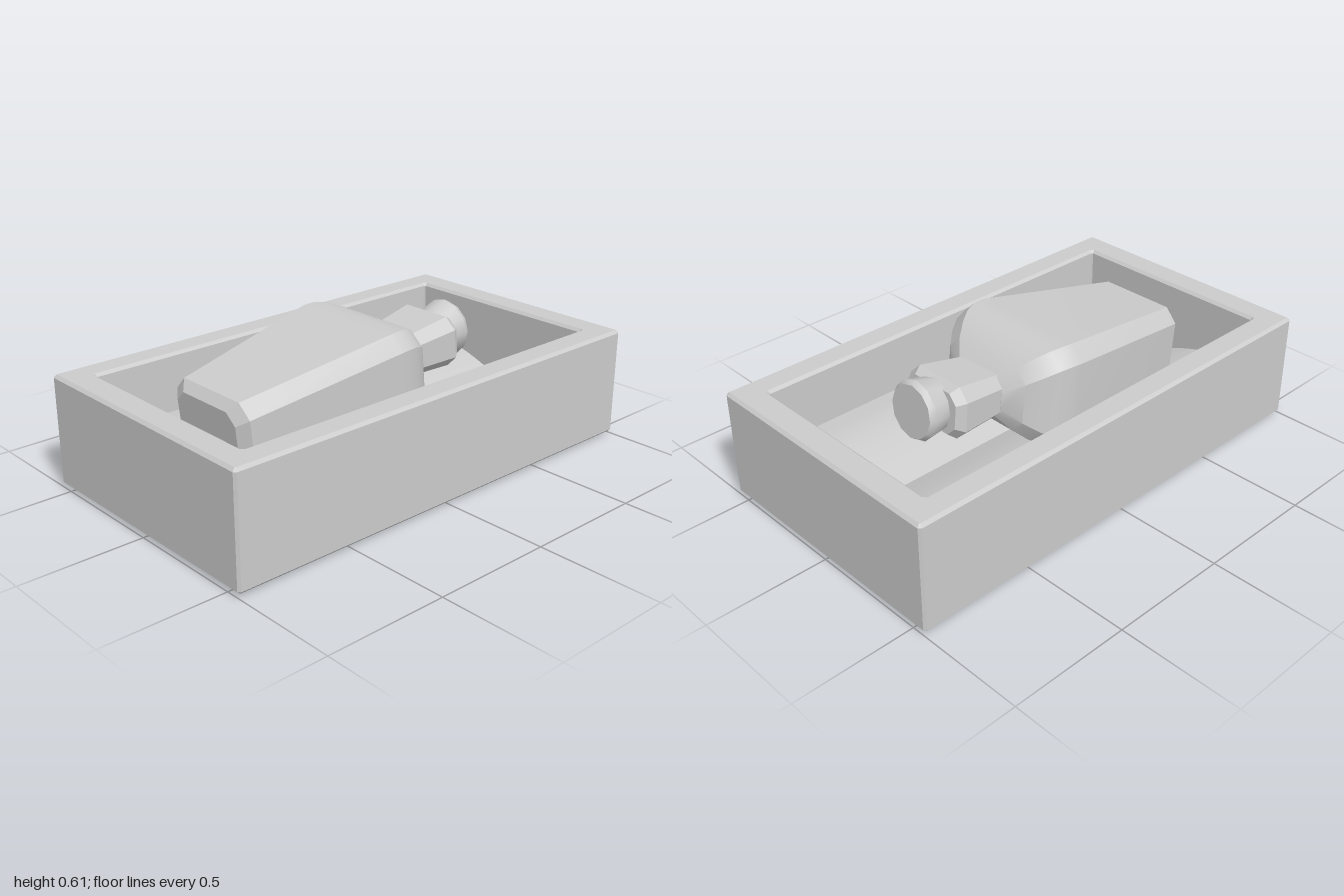
import * as THREE from 'three';
import { toCreasedNormals } from 'three/addons/utils/BufferGeometryUtils.js';

const grey = new THREE.MeshStandardMaterial({ color: 0xcccccc });

function part(name, geometry, parent) {
  const mesh = new THREE.Mesh(geometry, grey);
  mesh.name = name;
  parent.add(mesh);
  return mesh;
}

// Rectangle with cut corners, counterclockwise
function cutRect(w, h, c) {
  return [[w, -h + c], [w, h - c], [w - c, h], [-w + c, h], [-w, h - c], [-w, -h + c], [-w + c, -h], [w - c, -h]]
    .map(([x, y]) => new THREE.Vector2(x, y));
}

// Joins cut-corner sections [z, halfWidth, halfHeight, cut], listed from +z to -z
function loft(sections) {
  const rings = sections.map(([z, w, h, c]) => cutRect(w, h, c).map(p => [p.x, p.y, z]));
  const pos = [];
  const tri = (...pts) => pts.forEach(p => pos.push(...p));
  const last = rings[rings.length - 1];
  for (let i = 0; i < rings.length - 1; i++) {
    for (let j = 0; j < 8; j++) {
      const k = (j + 1) % 8;
      tri(rings[i][j], rings[i + 1][j], rings[i + 1][k]);
      tri(rings[i][j], rings[i + 1][k], rings[i][k]);
    }
  }
  for (let j = 1; j < 7; j++) {
    tri(rings[0][0], rings[0][j], rings[0][j + 1]);
    tri(last[0], last[j + 1], last[j]);
  }
  const g = new THREE.BufferGeometry();
  g.setAttribute('position', new THREE.Float32BufferAttribute(pos, 3));
  return toCreasedNormals(g, 0.45);
}

function buildBox(root) {
  const box = new THREE.Group();
  box.name = 'box';
  root.add(box);

  // Bevelled walls around an open middle
  const bevel = 0.012;
  const outline = new THREE.Shape(cutRect(0.563, 1, 0.01));
  outline.holes.push(new THREE.Path(cutRect(0.45, 0.88, 0.006).reverse()));
  const walls = new THREE.ExtrudeGeometry(outline, {
    depth: 0.457 - 2 * bevel, bevelEnabled: true, bevelSegments: 1,
    bevelThickness: bevel, bevelSize: bevel, bevelOffset: -bevel
  });
  walls.rotateX(-Math.PI / 2).translate(0, 0.01 + bevel, 0);
  part('boxWalls', walls, box);

  // Thin panel under the box
  part('bottomPanel', new THREE.BoxGeometry(0.93, 0.04, 1.92).translate(0, 0.02, 0), box);

  // Lining: two soft rises meeting in a crease along the middle
  const rise = x => 0.14 + 0.09 * Math.sin(Math.min(1.25, Math.abs(x) / 0.35) * Math.PI / 2);
  const lining = new THREE.Shape();
  lining.moveTo(-0.455, 0.03).lineTo(0.455, 0.03);
  for (let i = 12; i >= -12; i--) {
    const x = 0.455 * i / 12;
    lining.lineTo(x, rise(x));
  }
  const cushion = new THREE.ExtrudeGeometry(lining, { depth: 1.77, bevelEnabled: false });
  part('lining', toCreasedNormals(cushion.translate(0, 0, -0.885), 0.35), box);
}

function buildBottle(root) {
  const bottle = new THREE.Group();
  bottle.name = 'bottle';
  bottle.position.y = 0.39;
  bottle.rotation.x = 0.1;
  root.add(bottle);

  // Tapered body with a rounded shoulder
  part('bottleBody', loft([
    [0.7, 0.175, 0.125, 0.045],
    [0.665, 0.22, 0.16, 0.055],
    [0, 0.31, 0.215, 0.06],
    [-0.05, 0.306, 0.212, 0.06],
    [-0.1, 0.29, 0.2, 0.06],
    [-0.15, 0.258, 0.173, 0.058],
    [-0.2, 0.212, 0.133, 0.052],
    [-0.25, 0.14, 0.075, 0.04]
  ]), bottle);

  // Flared neck
  part('bottleNeck', loft([
    [-0.22, 0.135, 0.088, 0.04],
    [-0.44, 0.16, 0.108, 0.048],
    [-0.475, 0.135, 0.085, 0.038]
  ]), bottle);

  // Round stopper
  const profile = [[0, -0.44], [0.1, -0.44], [0.122, -0.55], [0.108, -0.572], [0, -0.572]]
    .map(([r, z]) => new THREE.Vector2(r, -z));
  const stopper = new THREE.LatheGeometry(profile, 12).rotateX(-Math.PI / 2);
  part('stopper', toCreasedNormals(stopper, 0.6), bottle);
}

export function createModel() {
  const root = new THREE.Group();
  root.name = 'boxedBottle';
  buildBox(root);
  buildBottle(root);
  return root;
}
